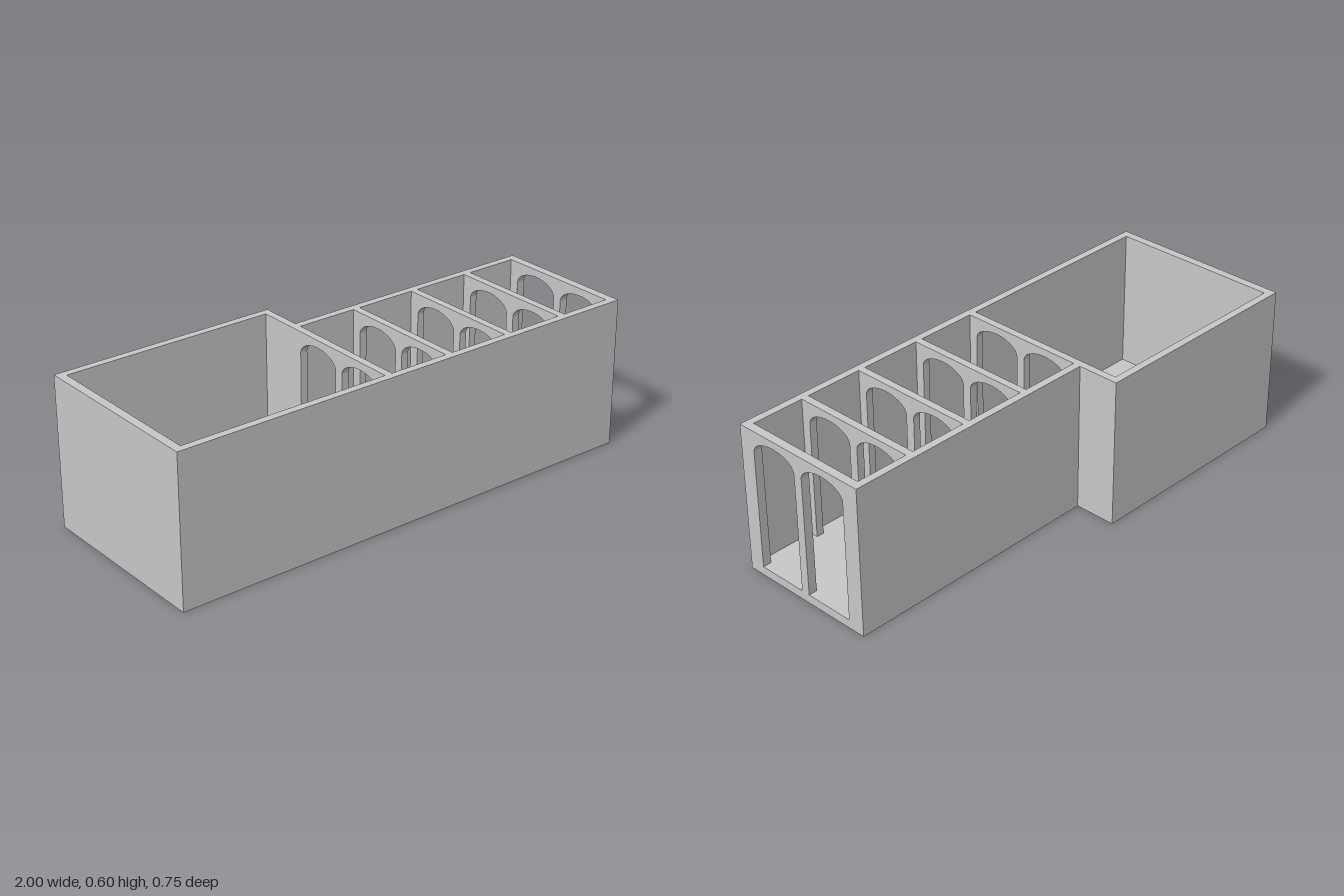
import * as THREE from 'three';

const FLOOR = 0.035, TOP = 0.6;
const SPRING = 0.515, RISE = 0.055;

// Extrudes a floor plan given as [x, z] corners from height y0 to y1.
function extrudePlan(points, y0, y1) {
  const shape = new THREE.Shape(points.map(([x, z]) => new THREE.Vector2(x, -z)));
  const geometry = new THREE.ExtrudeGeometry(shape, { depth: y1 - y0, bevelEnabled: false });
  return geometry.rotateX(-Math.PI / 2).translate(0, y0, 0);
}

// Cross wall between x0 and x1 with two arched doorways standing on the floor.
function archedWall(x0, x1) {
  const shape = new THREE.Shape();
  shape.moveTo(-0.345, FLOOR);
  for (const [a, b] of [[-0.31, -0.105], [-0.069, 0.135]]) {
    shape.lineTo(a, FLOOR);
    shape.lineTo(a, SPRING);
    shape.absellipse((a + b) / 2, SPRING, (b - a) / 2, RISE, Math.PI, 0, true, 0);
    shape.lineTo(b, FLOOR);
  }
  shape.lineTo(0.175, FLOOR);
  shape.lineTo(0.175, TOP);
  shape.lineTo(-0.345, TOP);
  shape.closePath();
  const geometry = new THREE.ExtrudeGeometry(shape, {
    depth: x1 - x0, bevelEnabled: false, curveSegments: 24,
  });
  return geometry.rotateY(Math.PI / 2).translate(x0, 0, 0);
}

export function createModel() {
  const model = new THREE.Group();
  model.name = 'archedBuilding';
  const plaster = new THREE.MeshStandardMaterial({ color: 0xc8c8c8 });
  plaster.name = 'grey plaster';

  const add = (name, geometry) => {
    const mesh = new THREE.Mesh(geometry, plaster);
    mesh.name = name;
    model.add(mesh);
  };

  // L-shaped floor slab
  add('floor', extrudePlan([
    [-1, 0.375], [1, 0.375], [1, -0.205], [-0.08, -0.205], [-0.08, -0.375], [-1, -0.375],
  ], 0, FLOOR));

  // Outer walls, open at the end that holds the entrance arches
  add('outerWalls', extrudePlan([
    [1, 0.375], [-1, 0.375], [-1, -0.375], [-0.08, -0.375], [-0.08, -0.205], [1, -0.205],
    [1, -0.175], [-0.11, -0.175], [-0.11, -0.345], [-0.966, -0.345], [-0.966, 0.345], [1, 0.345],
  ], FLOOR, TOP));

  // Partitions between the rooms, then the entrance wall
  const walls = [[-0.11, -0.08], [0.168, 0.198], [0.45, 0.48], [0.717, 0.748], [0.965, 1]];
  walls.forEach(([x0, x1], i) => {
    const name = i === walls.length - 1 ? 'entranceWall' : `archedPartition${i + 1}`;
    add(name, archedWall(x0, x1));
  });

  return model;
}
